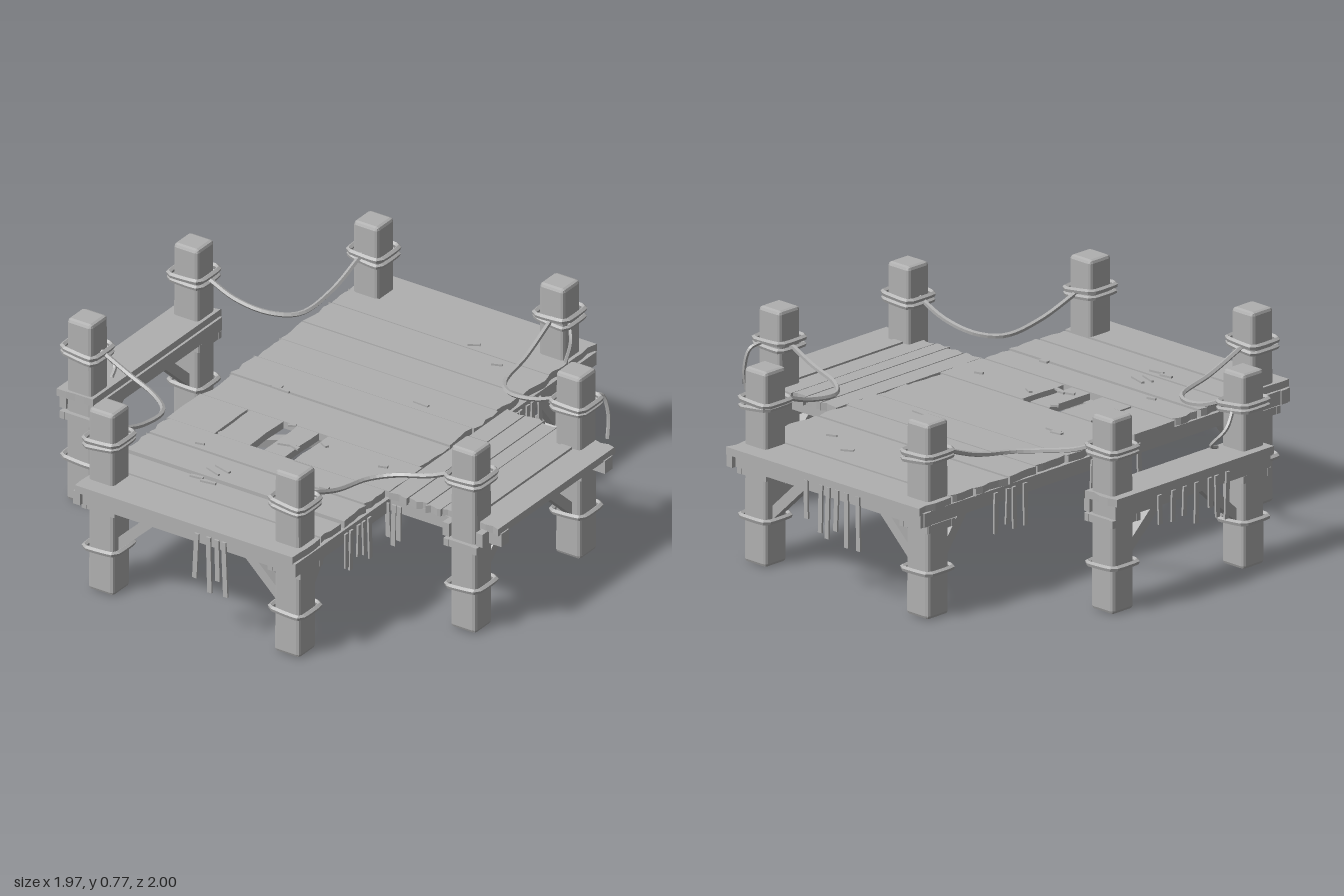
import * as THREE from 'three';
import { RoundedBoxGeometry } from 'three/addons/geometries/RoundedBoxGeometry.js';

export function createModel() {
  const root = new THREE.Group();
  const wood = new THREE.MeshStandardMaterial({ color: 0xb0b0b0 });
  wood.name = 'weatheredGrey';
  wood.flatShading = true;
  const moss = wood.clone();
  moss.name = 'weatheredGreyThin';
  moss.side = THREE.DoubleSide;

  let seed = 11;
  const rnd = (a, b) => {
    seed = (seed * 16807) % 2147483647;
    return a + (b - a) * (seed / 2147483647);
  };
  const V = (x, y, z) => new THREE.Vector3(x, y, z);
  const add = (name, geo, mat = wood) => {
    const m = new THREE.Mesh(geo, mat);
    m.name = name;
    root.add(m);
    return m;
  };

  // Squared timber between two points
  const bar = (name, a, b, w, h) => {
    const m = add(name, new THREE.BoxGeometry(w, h, a.distanceTo(b)));
    m.position.copy(a).lerp(b, 0.5);
    m.lookAt(b);
    return m;
  };

  // Plank with chipped ends, long side along x (or along z when turned)
  const plank = (name, l0, l1, w0, w1, top, turned = false, chip = 0.016) => {
    const s = new THREE.Shape();
    const n = 4;
    s.moveTo(l0, w0);
    for (let i = 0; i <= n; i++) {
      const w = w0 + ((w1 - w0) * i) / n;
      s.lineTo(l1 - rnd(0, chip), w);
    }
    for (let i = n; i >= 0; i--) {
      const w = w0 + ((w1 - w0) * i) / n;
      s.lineTo(l0 + rnd(0, chip), w);
    }
    s.closePath();
    const g = new THREE.ExtrudeGeometry(s, { depth: 0.03, bevelEnabled: false });
    g.rotateX(Math.PI / 2);
    if (turned) g.rotateY(-Math.PI / 2);
    const m = add(name, g);
    m.position.y = top;
  };

  // Main deck boards: [z start, z end]
  const rows = [[-1, -0.824], [-0.82, -0.7], [-0.697, -0.525], [-0.515, -0.365], [-0.36, -0.2],
    [-0.197, -0.043], [-0.04, 0.145], [0.375, 0.5], [0.515, 0.66], [0.678, 0.803], [0.815, 0.995]];
  rows.forEach(([a, b]) => plank('deckPlank', -0.52 + rnd(0, 0.012), 0.49 - rnd(0, 0.012), a, b, rnd(0.464, 0.472)));
  // Broken board with open slots
  [[-0.52, -0.3], [-0.295, -0.14], [-0.08, 0.02], [0.055, 0.49]].forEach(([a, b]) =>
    plank('brokenDeckPlank', a, b, 0.15, 0.37, 0.467, false, 0.006));
  // Right landing boards
  [[0.49, 0.57], [0.575, 0.655], [0.66, 0.722], [0.725, 0.81], [0.813, 0.86], [0.864, 0.985]].forEach(([a, b], i) =>
    plank('landingPlank', -0.41 + rnd(0, 0.02), 0.385 - rnd(0, 0.015), -b, -a, i === 4 ? 0.472 : 0.466, true));
  // Left narrow walkway board
  plank('leftPlank', -0.43, 0.425, 0.82, 0.98, 0.468, true);

  // Splinters lying on the deck
  for (let i = 0; i < 16; i++) {
    const m = add('splinter', new THREE.BoxGeometry(rnd(0.03, 0.08), 0.008, rnd(0.008, 0.02)));
    m.position.set(rnd(-0.38, 0.38), 0.474, rnd(-0.75, 0.75));
    m.rotation.y = rnd(-0.6, 0.6);
  }
  bar('looseSplinter', V(-0.3, 0.455, 0.35), V(-0.18, 0.45, 0.24), 0.02, 0.012);

  // Frame beams under the decks
  for (const s of [-1, 1]) {
    bar('endBeam', V(-0.52, 0.413, s * 0.955), V(0.49, 0.413, s * 0.955), 0.035, 0.055);
    bar('innerEndBeam', V(-0.5, 0.413, s * 0.79), V(0.47, 0.413, s * 0.79), 0.035, 0.055);
    bar('crossBeam', V(-0.5, 0.413, s * 0.36), V(0.47, 0.413, s * 0.36), 0.05, 0.055);
    bar('landingBeam', V(0.47, 0.413, s * 0.34), V(0.99, 0.413, s * 0.34), 0.05, 0.055);
  }
  for (const x of [-0.5, 0.475]) bar('sideBeam', V(x, 0.413, -0.99), V(x, 0.413, 0.99), 0.03, 0.055);
  for (const x of [-0.36, 0.33]) bar('innerSideBeam', V(x, 0.413, -0.97), V(x, 0.413, 0.97), 0.03, 0.055);
  for (const x of [-0.96, -0.825, 0.77, 0.92]) bar('wingBeam', V(x, 0.413, -0.42), V(x, 0.413, 0.41), 0.03, 0.055);

  // Crossed braces beneath the deck centre
  for (const sx of [-1, 1]) for (const sz of [-1, 1])
    bar('underBrace', V(sx * 0.41, 0.405, sz * 0.38), V(0, 0.36, 0), 0.045, 0.03);
  const hub = add('braceHub', new THREE.CylinderGeometry(0.035, 0.035, 0.035, 8));
  hub.position.y = 0.36;

  // Rope loop around a square post
  const loop = (x, y, z, h, r, tilt) => {
    const pts = [];
    for (let i = 0; i < 4; i++) {
      const a = (i * Math.PI) / 2 + Math.PI / 4;
      for (const d of [-0.16, 0.16]) {
        const k = h * 1.34;
        pts.push(V(x + Math.cos(a + d) * k, y + Math.cos(a) * tilt, z + Math.sin(a + d) * k));
      }
    }
    add('ropeLoop', new THREE.TubeGeometry(new THREE.CatmullRomCurve3(pts, true, 'catmullrom', 0.4), 24, r, 5, true));
  };

  // Posts with rope lashings, collars and diagonal braces
  const posts = [];
  for (const sz of [-1, 1])
    posts.push([-0.435, sz * 0.87, 1, -sz], [0.405, sz * 0.87, -1, -sz],
      [-0.89, sz * 0.35, 0, -sz], [0.84, sz * 0.345, 0, -sz]);
  posts.forEach(([x, z, dx, dz]) => {
    const g = new RoundedBoxGeometry(0.115, 0.77, 0.115, 1, 0.014);
    const p = g.attributes.position;
    for (let i = 0; i < p.count; i++) {
      const k = p.getY(i) > 0 ? 0.97 : 1;
      p.setX(i, p.getX(i) * k);
      p.setZ(i, p.getZ(i) * k);
    }
    const post = add('post', g);
    post.position.set(x, 0.385, z);
    loop(x, 0.185, z, 0.066, 0.011, rnd(-0.006, 0.006));
    loop(x, 0.622, z, 0.066, 0.01, rnd(-0.01, 0.01));
    loop(x, 0.645, z, 0.067, 0.011, rnd(-0.01, 0.01));
    // Wooden collar just beneath the beams
    for (const s of [-1, 1]) {
      bar('collar', V(x - 0.075, 0.365, z + s * 0.063), V(x + 0.075, 0.365, z + s * 0.063), 0.02, 0.03);
      bar('collar', V(x + s * 0.063, 0.365, z - 0.075), V(x + s * 0.063, 0.365, z + 0.075), 0.02, 0.03);
    }
    const reach = dx ? 0.21 : 0.28;
    bar('diagonalBrace', V(x, 0.2, z + dz * 0.045), V(x, 0.415, z + dz * reach), 0.04, 0.04);
    if (dx) bar('diagonalBrace', V(x + dx * 0.045, 0.2, z), V(x + dx * 0.27, 0.415, z), 0.04, 0.04);
  });

  // Sagging ropes between corner posts and wing posts
  const rope = (pts, r = 0.01) =>
    add('rope', new THREE.TubeGeometry(new THREE.CatmullRomCurve3(pts), 28, r, 5));
  for (const s of [-1, 1]) {
    rope([V(-0.83, 0.64, s * 0.345), V(-0.7, 0.582, s * 0.35), V(-0.57, 0.552, s * 0.38),
      V(-0.48, 0.545, s * 0.45), V(-0.455, 0.57, s * 0.62), V(-0.45, 0.64, s * 0.815)]);
    rope([V(0.79, 0.64, s * 0.35), V(0.66, 0.582, s * 0.355), V(0.52, 0.552, s * 0.38),
      V(0.445, 0.545, s * 0.45), V(0.425, 0.57, s * 0.62), V(0.41, 0.64, s * 0.815)]);
  }
  // Loose rope ends
  rope([V(0.86, 0.64, -0.41), V(0.88, 0.62, -0.46), V(0.9, 0.54, -0.47), V(0.91, 0.45, -0.45)], 0.008);
  rope([V(-0.9, 0.64, 0.29), V(-0.92, 0.57, 0.23), V(-0.87, 0.5, 0.2), V(-0.85, 0.475, 0.25)], 0.008);
  rope([V(0.46, 0.63, -0.85), V(0.49, 0.56, -0.82), V(0.48, 0.48, -0.8)], 0.008);

  // Hanging strips along an edge
  const strips = (a, b, n, low, high) => {
    for (let i = 0; i < n; i++) {
      const c = a.clone().lerp(b, (i + rnd(0.2, 0.8)) / n);
      const len = 0.43 - rnd(low, high);
      const m = add('hangingStrip', new THREE.BoxGeometry(0.02, len, 0.008), moss);
      m.position.set(c.x, 0.43 - len / 2, c.z);
      m.rotation.set(0, Math.abs(b.x - a.x) > 0.05 ? 0 : Math.PI / 2, rnd(-0.05, 0.05));
    }
  };
  strips(V(0.02, 0, 0.985), V(0.19, 0, 0.985), 4, 0.17, 0.28);
  strips(V(-0.22, 0, -0.985), V(0.1, 0, -0.985), 6, 0.21, 0.28);
  strips(V(0.5, 0, 0.5), V(0.5, 0, 0.7), 5, 0.24, 0.3);
  strips(V(0.5, 0, -0.62), V(0.5, 0, -0.42), 5, 0.23, 0.3);
  strips(V(-0.525, 0, -0.62), V(-0.525, 0, -0.4), 4, 0.24, 0.3);
  strips(V(-0.525, 0, -0.1), V(-0.525, 0, 0.2), 4, 0.26, 0.32);
  strips(V(-0.98, 0, -0.22), V(-0.98, 0, 0.22), 7, 0.24, 0.32);
  strips(V(0.48, 0, 0.39), V(0.56, 0, 0.39), 3, 0.25, 0.3);

  // Rest the feet on the ground and centre the model
  const box = new THREE.Box3().setFromObject(root);
  const c = box.getCenter(new THREE.Vector3());
  root.children.forEach((m) => m.position.sub(V(c.x, box.min.y, c.z)));
  return root;
}
